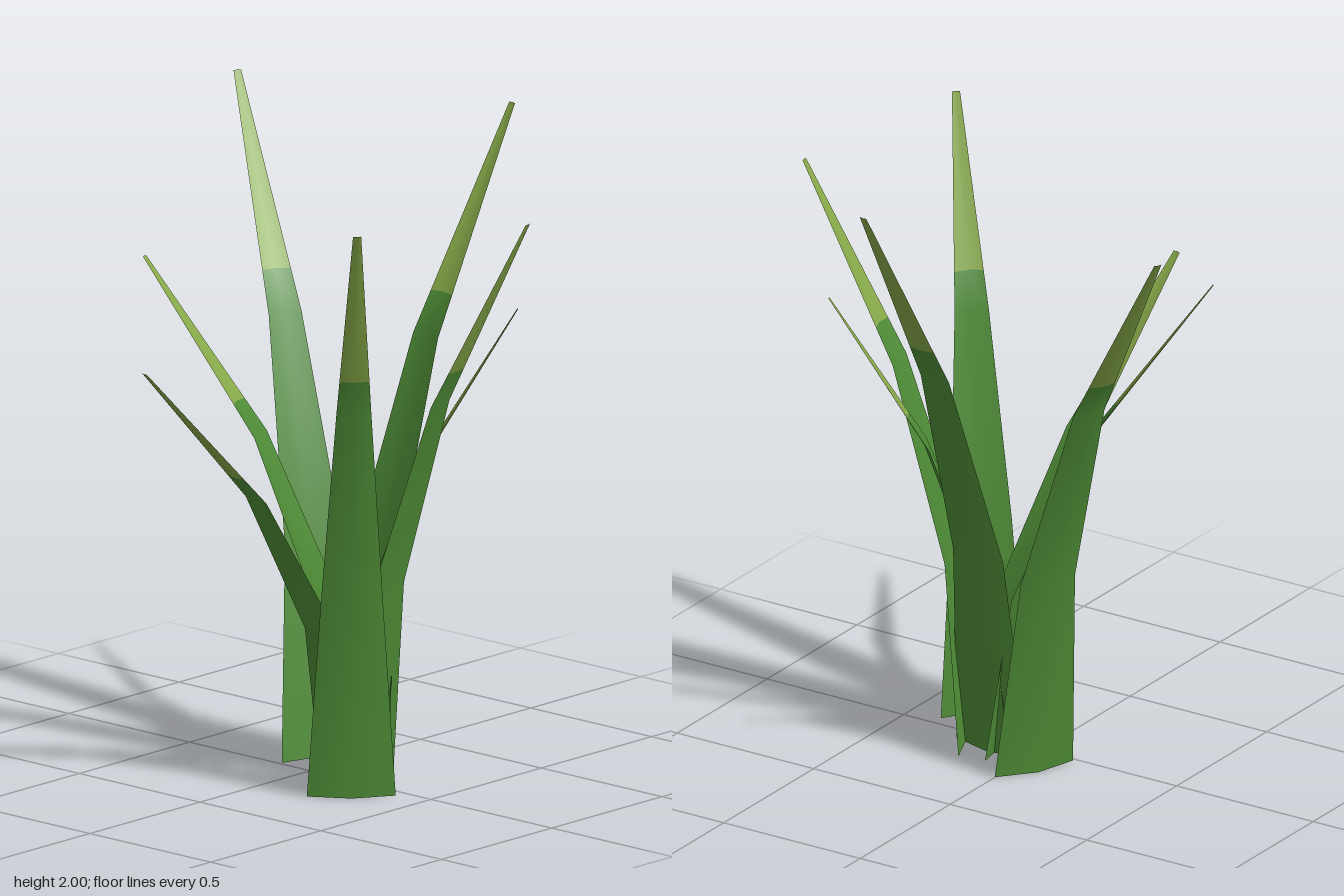
import * as THREE from 'three';

const leafGreen = new THREE.MeshStandardMaterial({ color: 0x4e8c36, side: THREE.DoubleSide });
leafGreen.name = 'leaf green';
const tipGreen = new THREE.MeshStandardMaterial({ color: 0x86a948, side: THREE.DoubleSide });
tipGreen.name = 'tip light green';

// Each blade: foot [x, z], tip [x, z] and height
const BLADES = [
  { foot: [-0.063, -0.13], tip: [-0.766, -0.508], height: 1.98 },
  { foot: [0.13, -0.067], tip: [0.163, -0.737], height: 2.0 },
  { foot: [0.12, 0.0], tip: [0.55, -0.336], height: 1.495 },
  { foot: [0.206, -0.045], tip: [0.766, -0.148], height: 1.84 },
  { foot: [0.293, 0.135], tip: [0.604, 0.449], height: 1.89 },
  { foot: [0.135, -0.012], tip: [-0.016, 0.735], height: 1.4 },
  { foot: [0.146, -0.035], tip: [-0.488, 0.217], height: 1.585 },
];

const BASE_WIDTH = 0.272, TIP_WIDTH = 0.025, FOLD = 0.11;
const LEVELS = [0, 1 / 3, 2 / 3, 0.728, 1]; // the tip colour starts at the fourth level

// Outward lean grows with the square of height, in three straight segments
function lean(t) {
  const i = Math.min(2, Math.floor(t * 3 + 1e-6));
  const a = i / 3, b = (i + 1) / 3;
  return THREE.MathUtils.lerp(a * a, b * b, (t - a) * 3);
}

// A tapering leaf with a three-point cross-section folded slightly outward
function makeBlade({ foot, tip, height }) {
  const reach = new THREE.Vector2(tip[0] - foot[0], tip[1] - foot[1]);
  const dir = reach.clone().normalize();
  const positions = [], index = [];

  for (const t of LEVELS) {
    const width = THREE.MathUtils.lerp(BASE_WIDTH, TIP_WIDTH, t);
    const k = lean(t);
    for (const side of [-1, 0, 1]) {
      const across = side * width / 2;
      const out = side === 0 ? width * FOLD : 0;
      positions.push(
        foot[0] + reach.x * k + dir.x * out + dir.y * across,
        height * t,
        foot[1] + reach.y * k + dir.y * out - dir.x * across,
      );
    }
  }
  for (let r = 0; r < LEVELS.length - 1; r++) {
    for (let c = 0; c < 2; c++) {
      const a = r * 3 + c, b = a + 1, d = a + 3, e = a + 4;
      index.push(a, b, e, a, e, d);
    }
  }

  const geometry = new THREE.BufferGeometry();
  geometry.setAttribute('position', new THREE.Float32BufferAttribute(positions, 3));
  geometry.setIndex(index);
  geometry.addGroup(0, 36, 0);
  geometry.addGroup(36, 12, 1);
  geometry.computeVertexNormals();
  return new THREE.Mesh(geometry, [leafGreen, tipGreen]);
}

export function createModel() {
  const plant = new THREE.Group();
  plant.name = 'grassTuft';
  BLADES.forEach((blade, i) => {
    const mesh = makeBlade(blade);
    mesh.name = `blade${i + 1}`;
    plant.add(mesh);
  });
  return plant;
}
